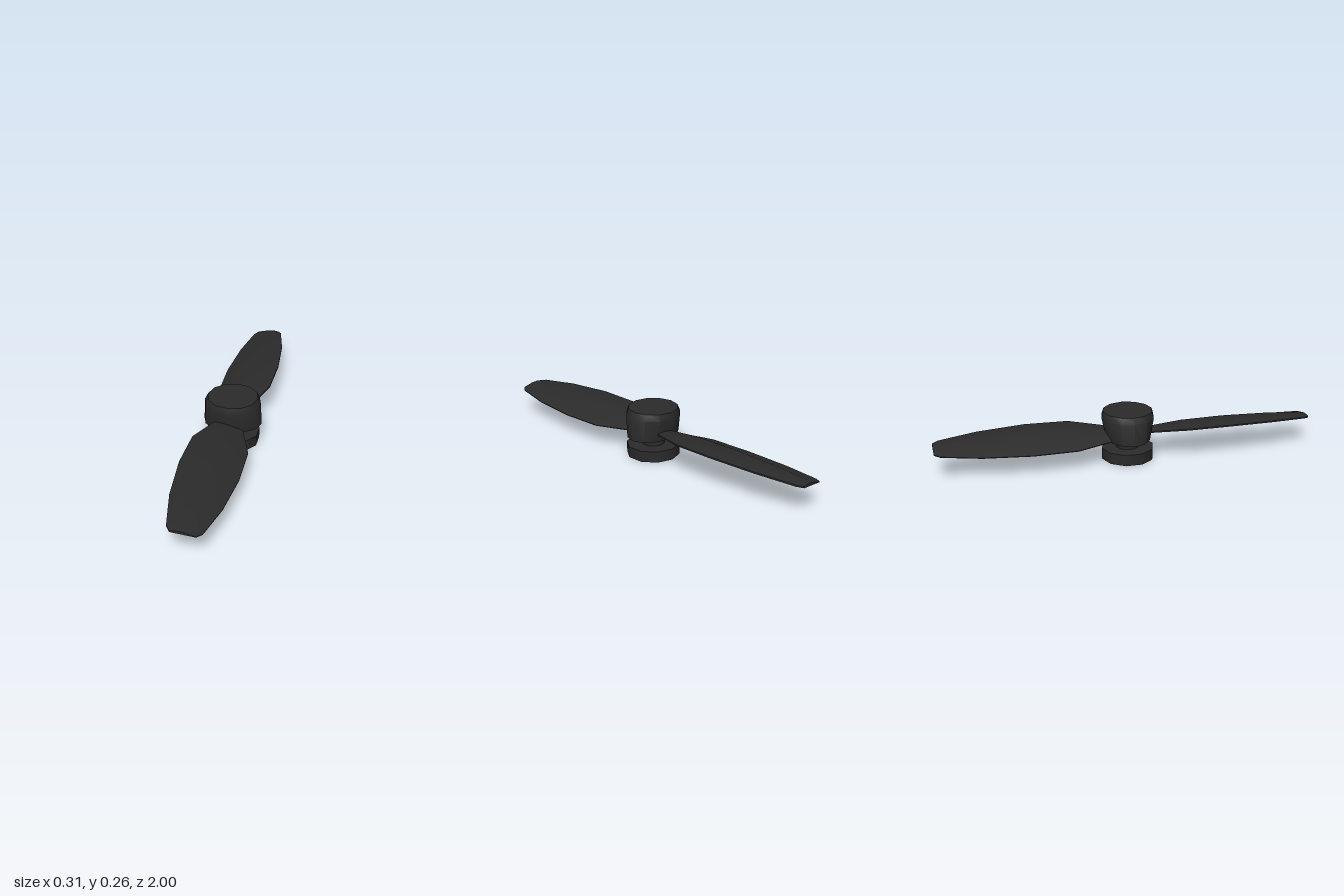
import * as THREE from 'three';
import { toCreasedNormals } from 'three/addons/utils/BufferGeometryUtils.js';

const blackPlastic = new THREE.MeshStandardMaterial({ color: 0x2b2b2b });

function makeMesh(name, geometry, crease) {
  const mesh = new THREE.Mesh(toCreasedNormals(geometry, crease), blackPlastic);
  mesh.name = name;
  return mesh;
}

// Turned part: profile rows are [x radius, y, z radius], from bottom to top
function turned(name, rows, sides) {
  const geometry = new THREE.LatheGeometry(rows.map(([r, y]) => new THREE.Vector2(r, y)), sides);
  const pos = geometry.attributes.position;
  for (let i = 0; i < pos.count; i++) {
    const [rx, , rz] = rows[i % rows.length];
    if (rx > 0) pos.setZ(i, pos.getZ(i) * rz / rx);
  }
  return makeMesh(name, geometry, 0.68);
}

// Blade stations: [z, half width, leading y, crown y, trailing y, belly y]
const STATIONS = [
  [0.05, 0.06, 0.150, 0.155, 0.120, 0.115],
  [0.13, 0.085, 0.158, 0.160, 0.115, 0.122],
  [0.29, 0.142, 0.174, 0.175, 0.111, 0.132],
  [0.52, 0.147, 0.176, 0.178, 0.111, 0.136],
  [0.77, 0.124, 0.168, 0.170, 0.117, 0.135],
  [0.97, 0.082, 0.155, 0.157, 0.127, 0.135],
  [1.0, 0.06, 0.150, 0.151, 0.132, 0.137],
];

function bladeGeometry() {
  const verts = [], index = [];
  for (const [z, w, lead, crown, trail, belly] of STATIONS) {
    // Thin lens section, counterclockwise from the trailing edge
    verts.push(w, trail + 0.004, z, 0, crown, z, -w * 0.6, (lead + crown) / 2 + 0.003, z,
      -w, lead, z, -w, lead - 0.008, z, 0, belly, z, w, trail, z);
  }
  const n = 7, last = (STATIONS.length - 1) * n;
  for (let s = 0; s < last; s += n) {
    for (let k = 0; k < n; k++) {
      const a = s + k, b = s + (k + 1) % n;
      index.push(a, b, b + n, a, b + n, a + n);
    }
  }
  // Tip and root caps
  for (let k = 1; k < n - 1; k++) {
    index.push(last, last + k, last + k + 1, 0, k + 1, k);
  }
  const geometry = new THREE.BufferGeometry();
  geometry.setAttribute('position', new THREE.Float32BufferAttribute(verts, 3));
  geometry.setIndex(index);
  return geometry;
}

export function createModel() {
  const propeller = new THREE.Group();
  propeller.name = 'propeller';

  // Mounting disc, shaft and bevelled hub
  propeller.add(turned('mountingDisc', [
    [0, 0, 0], [0.14, 0, 0.138], [0.142, 0.059, 0.138], [0, 0.059, 0],
  ], 10));
  propeller.add(turned('shaft', [[0.06, 0.05, 0.06], [0.06, 0.125, 0.06]], 10));
  propeller.add(turned('hub', [
    [0, 0.105, 0], [0.153, 0.109, 0.115], [0.148, 0.225, 0.139],
    [0.132, 0.258, 0.13], [0, 0.258, 0],
  ], 12));

  // Two twisted blades, half a turn apart
  ['frontBlade', 'backBlade'].forEach((name, i) => {
    const blade = makeMesh(name, bladeGeometry(), 0.6);
    blade.rotation.y = i * Math.PI;
    propeller.add(blade);
  });
  return propeller;
}
